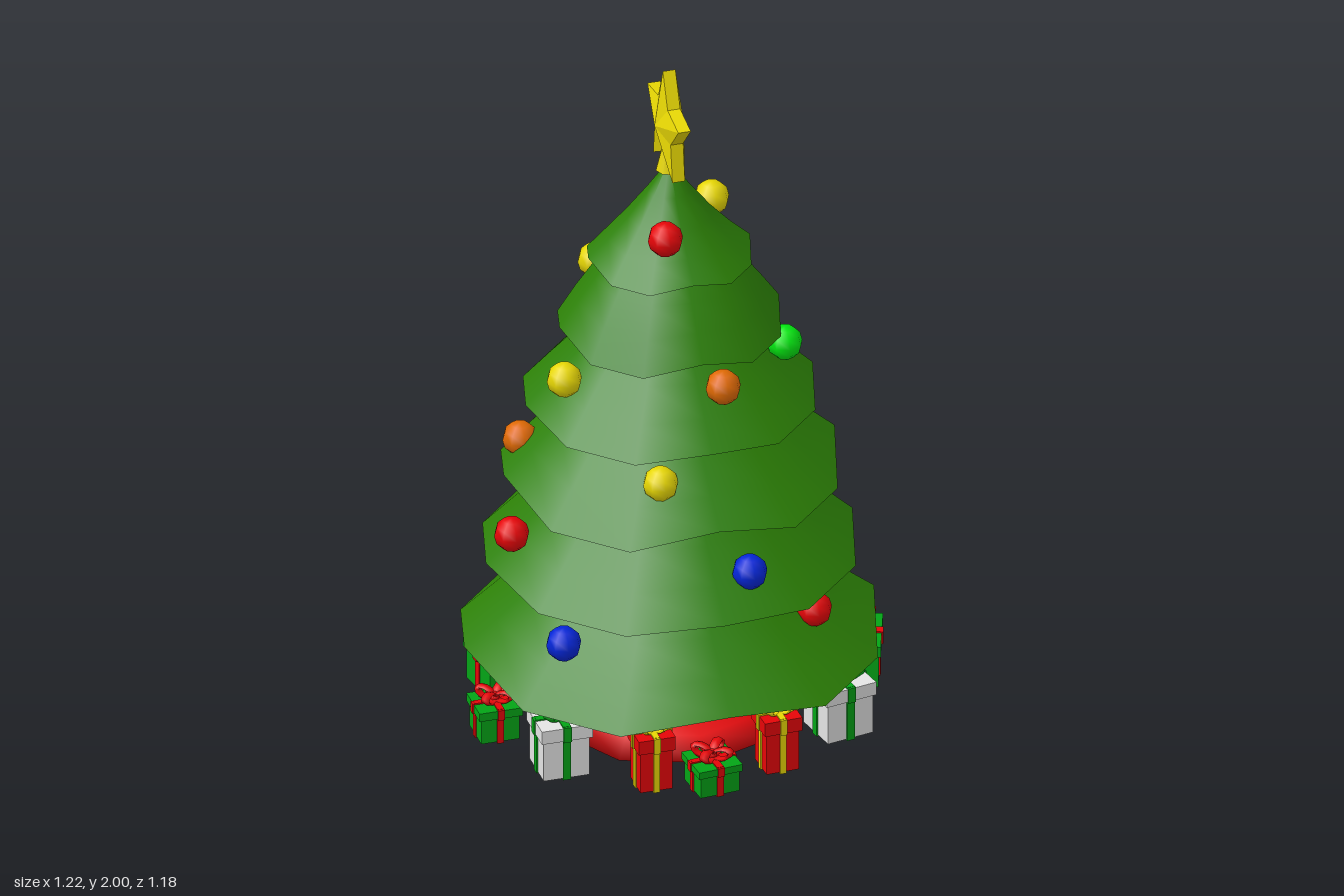
import * as THREE from 'three';

const mat = (name, color, side = THREE.FrontSide) => {
  const m = new THREE.MeshStandardMaterial({ color, side });
  m.name = name;
  return m;
};

export function createModel() {
  const M = {
    needles: mat('needle green', 0x2c8006, THREE.DoubleSide),
    shade: mat('deep needle green', 0x1f5a10, THREE.DoubleSide),
    bark: mat('bark brown', 0x451f08, THREE.DoubleSide),
    red: mat('red', 0xe60508, THREE.DoubleSide),
    yellow: mat('golden yellow', 0xe8d804),
    orange: mat('orange', 0xe06a04),
    blue: mat('blue', 0x0426d8),
    lime: mat('bright green', 0x02ea10),
    green: mat('wrapping green', 0x03a416),
    white: mat('white', 0xe4e4e4),
  };
  const model = new THREE.Group();
  model.name = 'decoratedTree';
  const add = (parent, name, geo, material, x = 0, y = 0, z = 0) => {
    const mesh = new THREE.Mesh(geo, material);
    mesh.name = name;
    mesh.position.set(x, y, z);
    parent.add(mesh);
    return mesh;
  };
  const lathe = (pts, sides) =>
    new THREE.LatheGeometry(pts.map(([r, y]) => new THREE.Vector2(r, y)), sides);

  const tree = new THREE.Group();
  tree.name = 'tree';
  tree.position.x = -0.02;
  model.add(tree);

  // Flared hollow trunk and the thick cloth around its foot
  add(tree, 'trunk', lathe([[0.23, 0.012], [0.18, 0.08], [0.165, 0.16], [0.15, 0.28], [0.12, 0.6]], 12), M.bark);
  add(tree, 'treeSkirt', lathe([[0.225, 0.015], [0.35, 0.002], [0.3, 0.06], [0.18, 0.1]], 9), M.red);

  // Branch tiers: twelve-sided bells whose rims droop between the four axis corners
  const droop = (geo, R, drop) => {
    const p = geo.attributes.position;
    for (let i = 0; i < p.count; i++) {
      const r = Math.hypot(p.getX(i), p.getZ(i));
      const step = Math.round(Math.atan2(p.getX(i), p.getZ(i)) / (Math.PI / 6));
      if (step % 3 !== 0) p.setY(i, p.getY(i) - drop * (r / R) ** 3);
    }
    return geo;
  };
  // rim radius, rim height, top radius, top height, droop, sag of the slope
  const tiers = [
    [0.588, 0.275, 0.22, 0.62, 0.055, 0.06],
    [0.526, 0.53, 0.19, 0.88, 0.028, 0.04],
    [0.475, 0.80, 0.16, 1.10, 0.06, 0.03],
    [0.412, 1.01, 0.12, 1.31, 0.03, 0.02],
    [0.315, 1.24, 0.11, 1.50, 0.04, -0.04],
    [0.232, 1.445, 0.005, 1.71, 0.03, 0.08],
  ];
  tiers.forEach(([R, y, r, top, drop, sag], i) => {
    const shell = [0, 0.25, 0.5, 0.75, 1].map((t) => [
      R + (r - R) * t,
      y + (top - y) * (t - sag * Math.sin(Math.PI * t)),
    ]);
    const underside = [[i === 0 ? 0.13 : R * 0.5, y + 0.06], [R * 0.85, y + 0.015], [R, y]];
    add(tree, `branchTier${i + 1}`, droop(lathe(shell, 12), R, drop), M.needles);
    add(tree, `branchUnderside${i + 1}`, droop(lathe(underside, 12), R, drop), M.shade);
  });

  // Faceted five-pointed star facing sideways, on a small stem
  const outline = Array.from({ length: 10 }, (_, i) => {
    const a = Math.PI / 2 + (i * Math.PI) / 5;
    const r = i % 2 ? 0.084 : 0.168;
    return [Math.cos(a) * r * 0.91, Math.sin(a) * r];
  });
  const verts = [];
  const edge = 0.018, peak = 0.042;
  outline.forEach(([ax, ay], i) => {
    const [bx, by] = outline[(i + 1) % 10];
    verts.push(0, 0, peak, ax, ay, edge, bx, by, edge);
    verts.push(0, 0, -peak, bx, by, -edge, ax, ay, -edge);
    verts.push(ax, ay, edge, ax, ay, -edge, bx, by, -edge);
    verts.push(ax, ay, edge, bx, by, -edge, bx, by, edge);
  });
  const starGeo = new THREE.BufferGeometry();
  starGeo.setAttribute('position', new THREE.Float32BufferAttribute(verts, 3));
  starGeo.computeVertexNormals();
  add(tree, 'star', starGeo, M.yellow, 0, 1.832, 0).rotation.y = Math.PI / 2;
  add(tree, 'starStem', new THREE.CylinderGeometry(0.015, 0.038, 0.09, 8), M.yellow, 0, 1.735, 0);

  // Baubles
  const baubleGeo = new THREE.SphereGeometry(0.05, 8, 6);
  const baubles = {
    red: [[-0.075, 1.555, 0.145], [-0.495, 0.655, 0.075], [0.42, 0.62, -0.05], [0.31, 0.4, 0.285], [-0.14, 0.88, -0.37]],
    yellow: [[0.14, 1.505, -0.125], [-0.35, 1.13, 0.095], [-0.145, 0.895, 0.33], [-0.18, 1.335, -0.172]],
    orange: [[0.04, 1.16, 0.312], [-0.41, 0.835, -0.125], [0.365, 0.42, -0.21]],
    lime: [[0.277, 1.155, 0.115], [0.24, 0.615, -0.355], [-0.045, 1.1, -0.343], [-0.28, 0.335, -0.41]],
    blue: [[0.35, 0.91, -0.11], [0.085, 0.625, 0.415], [-0.405, 0.4, 0.27]],
  };
  for (const [colour, spots] of Object.entries(baubles))
    for (const p of spots) add(model, `${colour}Bauble`, baubleGeo, M[colour], ...p);

  // Wrapped presents with lid, crossed ribbons running underneath, and a looped bow
  const loop = new THREE.TorusGeometry(0.021, 0.0065, 5, 10);
  const makeGift = (x, z, w, h, turn, paper, ribbon) => {
    const gift = new THREE.Group();
    gift.name = 'present';
    gift.position.set(x, 0.01, z);
    gift.rotation.y = turn;
    model.add(gift);
    const lid = h * 0.25, band = Math.max(0.018, w * 0.17);
    const box = (name, a, b, c, m, y) => add(gift, name, new THREE.BoxGeometry(a, b, c), m, 0, y, 0);
    box('presentBox', w, h, w, paper, h / 2);
    box('presentLid', w + 0.014, lid, w + 0.014, paper, h - lid / 2);
    for (const side of [0, Math.PI / 2]) {
      box('ribbon', band, h + 0.008, w + 0.008, ribbon, h / 2).rotation.y = side;
      box('lidRibbon', band, lid + 0.006, w + 0.022, ribbon, h - lid / 2).rotation.y = side;
    }
    const bow = new THREE.Group();
    bow.name = 'bow';
    bow.position.y = h;
    bow.scale.setScalar(w / 0.12);
    gift.add(bow);
    for (let i = 0; i < 4; i++) {
      const arm = new THREE.Group();
      arm.name = 'bowArm';
      arm.rotation.y = Math.PI / 4 + (i * Math.PI) / 2;
      bow.add(arm);
      const l = add(arm, 'bowLoop', loop, ribbon, 0.03, 0.02, 0);
      l.scale.set(1.4, 0.75, 2.4);
      l.rotation.z = 0.35;
    }
    add(bow, 'bowKnot', new THREE.SphereGeometry(0.016, 8, 6), ribbon, 0, 0.014, 0);
  };
  // x, z, width, height, turn
  const wraps = [
    [M.white, M.green, [[-0.415, 0.265, 0.132, 0.16, 0], [0.38, 0.28, 0.14, 0.16, 0.2], [0.39, -0.265, 0.1, 0.11, 0.1], [-0.13, -0.465, 0.13, 0.15, 0]]],
    [M.red, M.yellow, [[-0.2, 0.425, 0.092, 0.165, 0], [0.16, 0.425, 0.095, 0.165, 0.05], [0.15, -0.435, 0.095, 0.165, 0.2], [-0.31, -0.405, 0.075, 0.105, 0.6]]],
    [M.green, M.red, [[-0.045, 0.485, 0.115, 0.085, 0.1], [0.495, -0.01, 0.175, 0.13, -0.33], [-0.43, -0.22, 0.15, 0.13, 0.15], [-0.53, 0.03, 0.11, 0.1, 0]]],
  ];
  for (const [paper, ribbon, list] of wraps)
    for (const g of list) makeGift(...g, paper, ribbon);

  return model;
}
